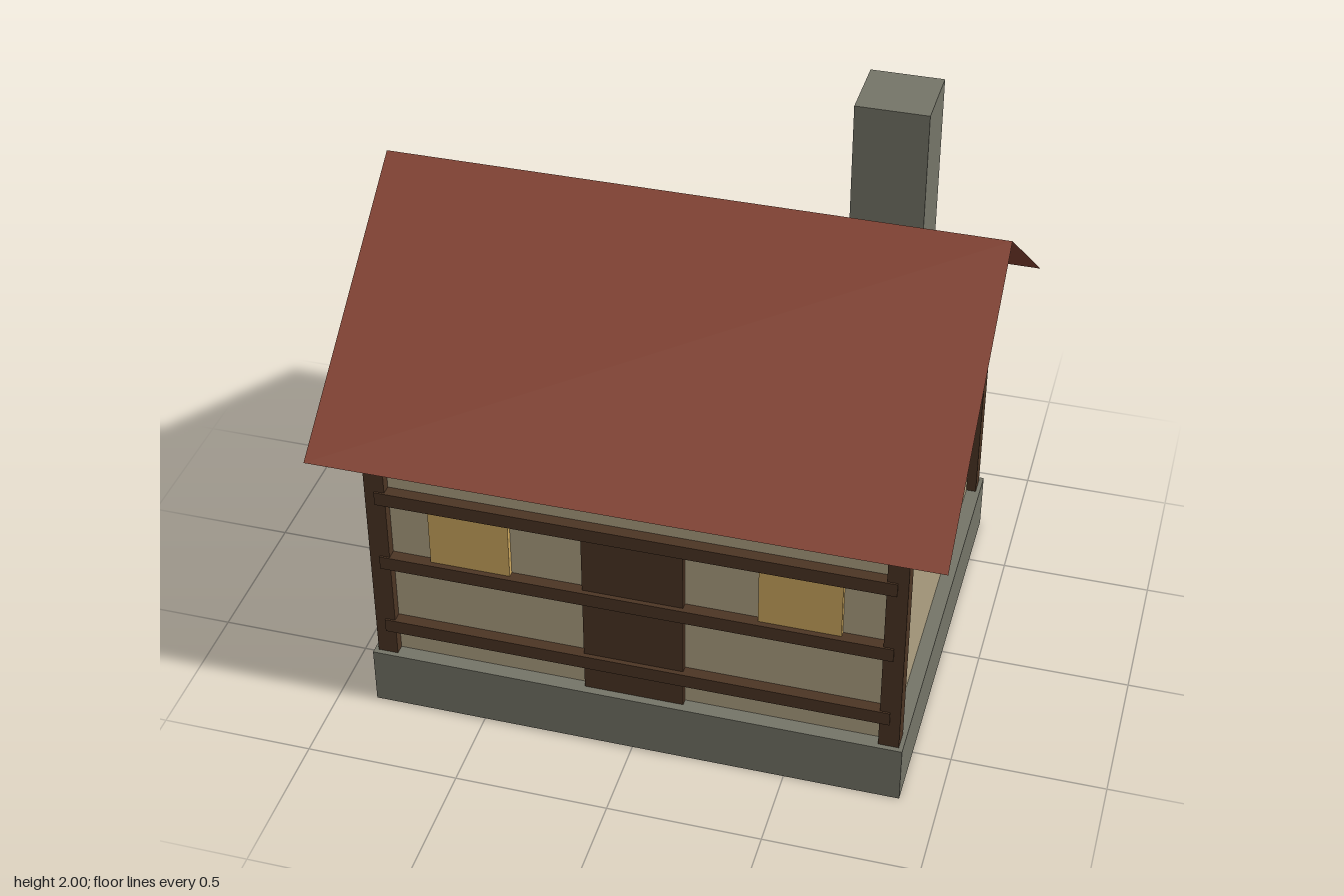
import * as THREE from 'three';

const paint = (name, color, side = THREE.FrontSide) => {
  const m = new THREE.MeshStandardMaterial({ color, side });
  m.name = name;
  return m;
};

export function createModel() {
  const house = new THREE.Group();
  house.name = 'cottage';

  const stone = paint('stone', 0x757568);
  const plaster = paint('plaster', 0xb0a283, THREE.DoubleSide);
  const timber = paint('timber', 0x4c3524);
  const tiles = paint('roofTiles', 0x844333, THREE.DoubleSide);
  const glass = paint('windowGlow', 0xcfa95f);

  const add = (name, geometry, material) => {
    const mesh = new THREE.Mesh(geometry, material);
    mesh.name = name;
    house.add(mesh);
    return mesh;
  };

  // Box given by its extents on each axis
  const box = (name, [x0, x1], [y0, y1], [z0, z1], material) =>
    add(name, new THREE.BoxGeometry(x1 - x0, y1 - y0, z1 - z0), material)
      .position.set((x0 + x1) / 2, (y0 + y1) / 2, (z0 + z1) / 2);

  // Flat convex panel from its corners
  const panel = (name, corners, material) => {
    const g = new THREE.BufferGeometry();
    g.setAttribute('position', new THREE.Float32BufferAttribute(corners.flat(), 3));
    g.setIndex(corners.length === 3 ? [0, 1, 2] : [0, 1, 2, 0, 2, 3]);
    g.computeVertexNormals();
    return add(name, g, material);
  };

  const wallX = 0.828, wallZ = 0.665, eaveY = 1.035, ridgeY = 1.66;
  const roofX = 0.993, roofZ = 0.828;

  // Foundation, walls and chimney
  box('foundation', [-0.875, 0.875], [0, 0.2], [-0.715, 0.715], stone);
  box('walls', [-wallX, wallX], [0.2, eaveY], [-wallZ, wallZ], plaster);
  box('chimney', [0.48, 0.71], [1.3, 2], [-0.31, -0.08], stone);

  for (const s of [-1, 1]) {
    // Gable triangle, facing outwards
    panel('gable', [[s * wallX, eaveY, s * wallZ], [s * wallX, eaveY, -s * wallZ], [s * wallX, ridgeY, 0]], plaster);

    // Thin roof slope, facing up
    panel('roofSlope', [
      [-s * roofX, eaveY, s * roofZ], [s * roofX, eaveY, s * roofZ],
      [s * roofX, ridgeY, 0], [-s * roofX, ridgeY, 0],
    ], tiles);

    // Corner posts
    for (const t of [-1, 1]) {
      const x = s * wallX, z = t * wallZ, h = 0.033;
      box('cornerPost', [x - h, x + h], [0.2, eaveY], [z - h, z + h], timber);
    }

    // Front windows
    const cx = s * 0.531;
    box('window', [cx - 0.131, cx + 0.131], [0.58, 0.83], [wallZ - 0.01, 0.685], glass);
  }

  // Door and horizontal beams on the front
  box('door', [-0.163, 0.163], [0.2, 0.82], [wallZ - 0.01, 0.688], timber);
  for (const y of [0.316, 0.578, 0.836]) {
    box('frontBeam', [-wallX, wallX], [y - 0.024, y + 0.024], [wallZ - 0.01, 0.704], timber);
  }

  return house;
}
